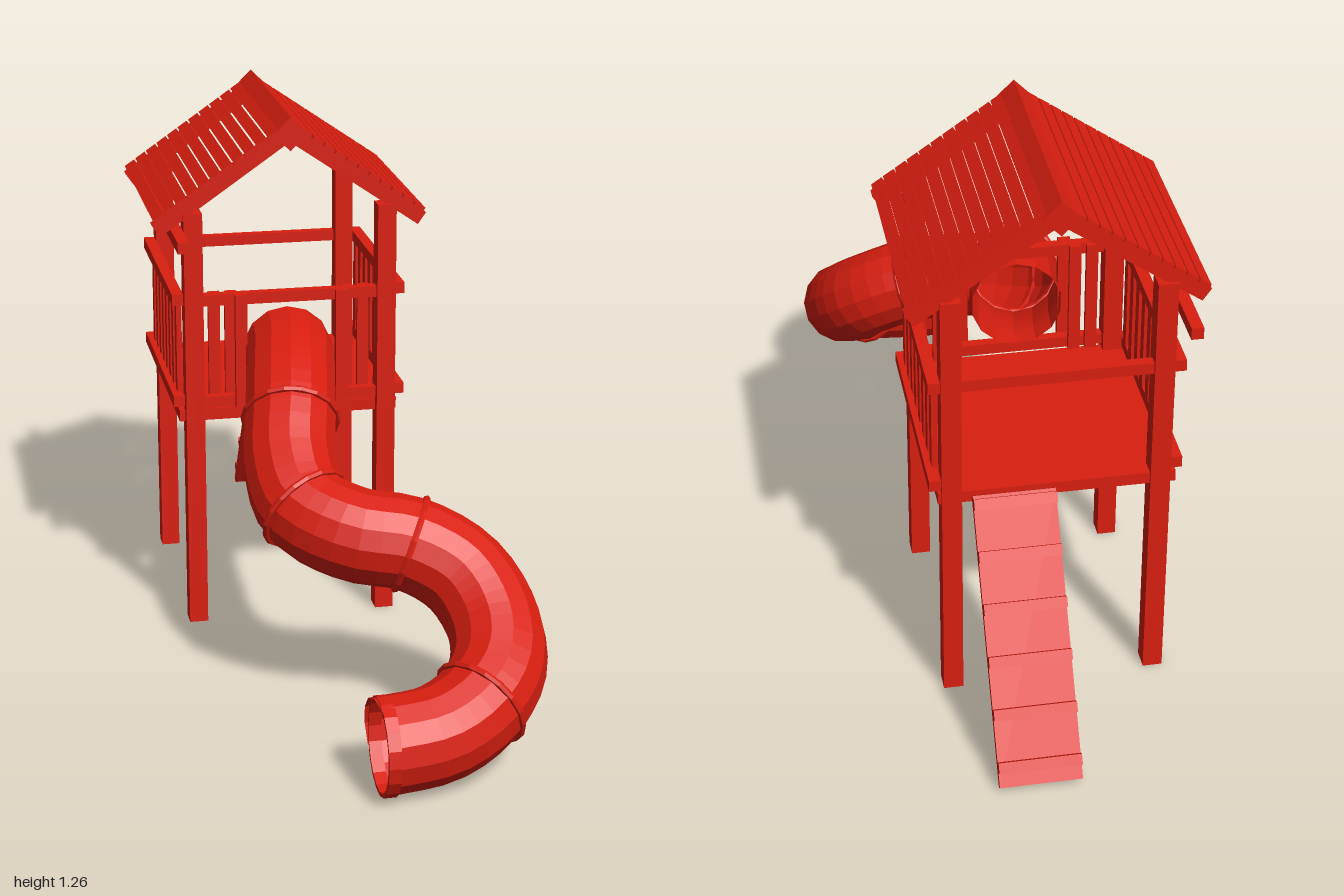
import * as THREE from 'three';

const RED = new THREE.MeshStandardMaterial({ color: 0xd91e10 });
const TUBE = new THREE.MeshStandardMaterial({ color: 0xd91e10, flatShading: true, side: THREE.DoubleSide });

const CX = -0.05, CZ = -0.35;     // tower centre
const POST_X = 0.234, POST_Z = 0.256; // post offsets from the centre

function add(parent, name, geometry, material = RED) {
  const mesh = new THREE.Mesh(geometry, material);
  mesh.name = name;
  parent.add(mesh);
  return mesh;
}

// Box given by its extents along each axis
function box(parent, name, [x0, x1], [y0, y1], [z0, z1]) {
  const m = add(parent, name, new THREE.BoxGeometry(x1 - x0, y1 - y0, z1 - z0));
  m.position.set((x0 + x1) / 2, (y0 + y1) / 2, (z0 + z1) / 2);
  return m;
}

const around = (c, size) => [c - size / 2, c + size / 2];

function group(parent, name) {
  const g = new THREE.Group();
  g.name = name;
  parent.add(g);
  return g;
}

function buildTower(root) {
  const tower = group(root, 'tower');
  for (const sx of [-1, 1]) for (const sz of [-1, 1])
    box(tower, 'post', around(CX + sx * POST_X, 0.045), [0, 1.04], around(CZ + sz * POST_Z, 0.048));
  box(tower, 'floor', [-0.32, 0.214], [0.52, 0.548], [-0.622, -0.092]);

  // Side railings, outside the posts
  for (const s of [-1, 1]) {
    const rail = group(tower, 'sideRailing');
    const x = CX + s * 0.27;
    for (const y of [0.57, 0.825]) box(rail, 'rail', around(x, 0.027), around(y, 0.027), [-0.622, -0.095]);
    for (let i = 0; i < 8; i++)
      box(rail, 'baluster', around(CX + s * 0.263, 0.013), [0.557, 0.838], around(-0.145 - i * 0.0587, 0.029));
  }

  // Front railing with boards beside the slide entrance
  const front = group(tower, 'frontRailing');
  for (const y of [0.57, 0.825]) box(front, 'rail', [-0.265, 0.16], around(y, 0.027), around(-0.088, 0.024));
  for (const s of [-1, 1]) {
    box(front, 'entranceBoard', around(CX + s * 0.122, 0.029), [0.557, 0.838], around(-0.068, 0.015));
    for (const d of [0.142, 0.182])
      box(front, 'baluster', around(CX + s * d, 0.028), [0.557, 0.838], around(-0.106, 0.012));
  }

  box(tower, 'backRail', [-0.265, 0.16], around(0.825, 0.027), around(-0.61, 0.024));
  box(tower, 'hangingBeam', around(-0.32, 0.027), around(0.985, 0.027), [-0.745, 0.025]);
}

function buildRoof(root) {
  const roof = group(root, 'roof');
  const ridge = add(roof, 'ridgeBeam', new THREE.BoxGeometry(0.058, 0.058, 0.56));
  ridge.position.set(CX, 1.222, CZ);
  ridge.rotation.z = Math.PI / 4;

  for (const s of [-1, 1]) {
    // Local x runs down the slope, local y = 0 is the rafter's top
    const slope = group(roof, 'roofSlope');
    slope.position.set(CX, 1.243, CZ);
    slope.rotation.z = s > 0 ? -0.605 : 0.605;
    const span = (a, b) => (s > 0 ? [a, b] : [-b, -a]);
    for (const sz of [-1, 1])
      box(slope, 'rafter', span(0, 0.401), [-0.034, 0], around(sz * POST_Z, 0.032));
    for (let i = 0; i < 11; i++) {
      const a = 0.03 + i * 0.0333;
      box(slope, 'roofPlank', span(a, a + 0.029), [0, 0.009], around(0, 0.552));
    }
  }
}

function buildRamp(root) {
  const ramp = group(root, 'climbingRamp');
  const top = [-0.637, 0.545], foot = [-0.99, 0.012];
  const dz = top[0] - foot[0], dy = top[1] - foot[1];
  const length = Math.hypot(dz, dy);
  ramp.position.set(0.048, (top[1] + foot[1]) / 2, (top[0] + foot[0]) / 2);
  ramp.rotation.x = -Math.atan2(dy, dz); // local z climbs the slope
  box(ramp, 'rampBoard', around(0, 0.185), around(0, 0.016), around(0, length));
  for (let i = 0; i < 6; i++)
    box(ramp, 'cleat', around(0, 0.185), [0.008, 0.024], around(length * (0.47 - i * 0.18), 0.024));
}

function buildSlide(root) {
  const slide = group(root, 'tubeSlide');
  const points = [
    [-0.055, 0.688, -0.1], [-0.06, 0.685, -0.03], [-0.08, 0.66, 0.08], [-0.1, 0.61, 0.19],
    [-0.12, 0.535, 0.29], [-0.105, 0.467, 0.39], [-0.01, 0.43, 0.475], [0.115, 0.408, 0.505],
    [0.22, 0.35, 0.55], [0.268, 0.275, 0.64], [0.26, 0.21, 0.74], [0.2, 0.16, 0.82],
    [0.1, 0.122, 0.87], [-0.035, 0.109, 0.885],
  ].map((p) => new THREE.Vector3(...p));
  const path = new THREE.CatmullRomCurve3(points);
  add(slide, 'tube', new THREE.TubeGeometry(path, 44, 0.107, 14), TUBE);

  // Joint collars between the tube sections
  for (const i of [3, 5, 7, 11]) {
    const t = i / (points.length - 1);
    const collar = add(slide, 'jointCollar', new THREE.TorusGeometry(0.108, 0.008, 6, 18), TUBE);
    collar.position.copy(path.getPoint(t));
    collar.quaternion.setFromUnitVectors(new THREE.Vector3(0, 0, 1), path.getTangent(t));
  }

  // Flat rim at the exit
  const rim = add(slide, 'exitRim', new THREE.LatheGeometry(
    [[0.1, -0.014], [0.109, -0.014], [0.109, 0.014], [0.1, 0.014], [0.1, -0.014]]
      .map(([r, y]) => new THREE.Vector2(r, y)), 18), TUBE);
  rim.rotation.z = Math.PI / 2;
  rim.position.set(-0.026, 0.109, 0.885);
}

export function createModel() {
  const root = new THREE.Group();
  root.name = 'playTower';
  buildTower(root);
  buildRoof(root);
  buildRamp(root);
  buildSlide(root);
  return root;
}
